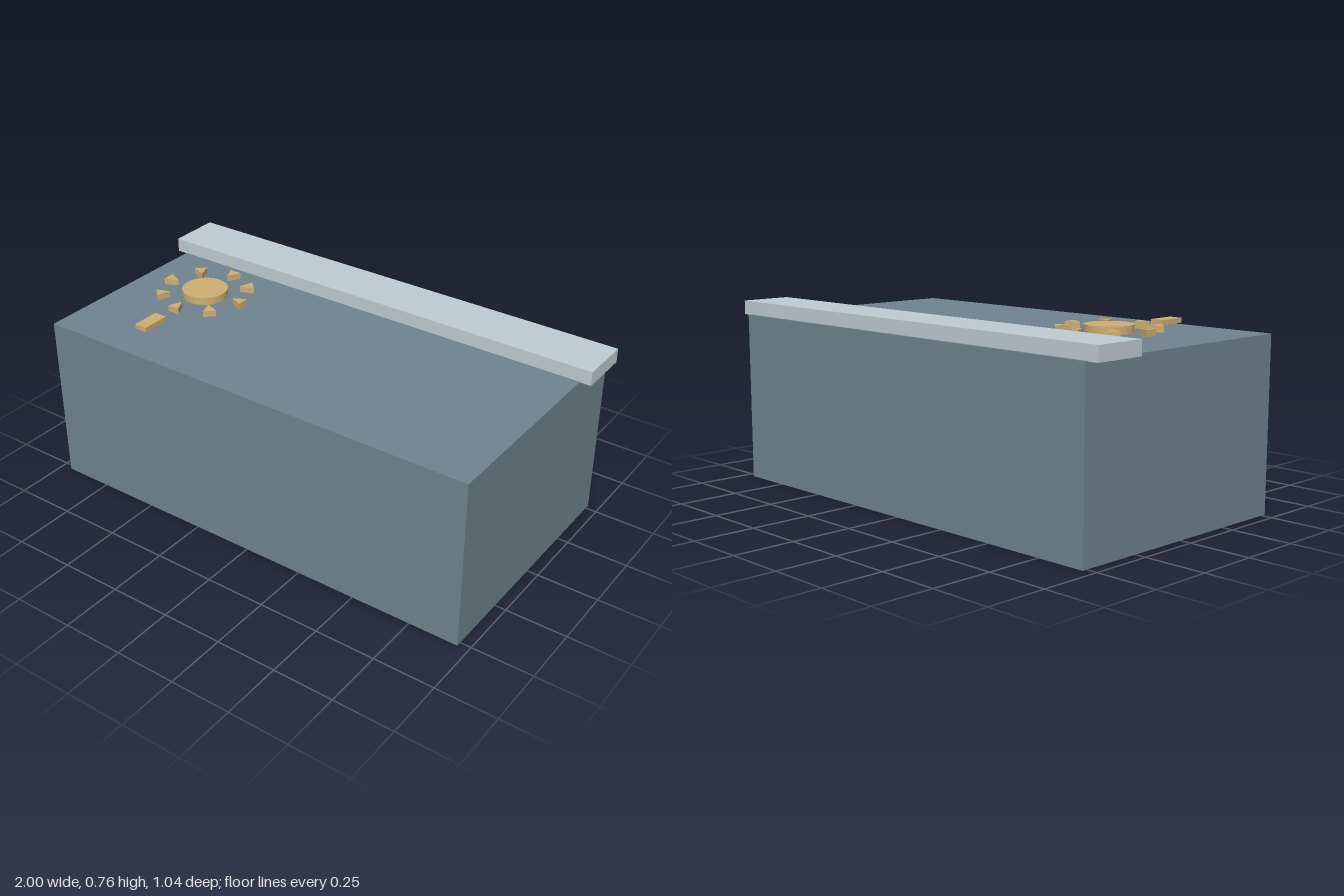
import * as THREE from 'three';

const slate = new THREE.MeshStandardMaterial({ color: 0x70848f });
const pale = new THREE.MeshStandardMaterial({ color: 0xbfccd4 });
const gold = new THREE.MeshStandardMaterial({ color: 0xcfae72 });

function addMesh(parent, name, geometry, material, x, y, z) {
  const mesh = new THREE.Mesh(geometry, material);
  mesh.name = name;
  mesh.position.set(x, y, z);
  parent.add(mesh);
  return mesh;
}

export function createModel() {
  const model = new THREE.Group();
  model.name = 'counter';

  // Solid body and the raised ledge along its back edge
  addMesh(model, 'body', new THREE.BoxGeometry(1.91, 0.7, 1.04), slate, 0, 0.35, 0);
  addMesh(model, 'backLedge', new THREE.BoxGeometry(2, 0.058, 0.217), pale, 0, 0.727, -0.399);

  // Sun emblem: round disc ringed by wedges that point inwards
  const sun = new THREE.Group();
  sun.name = 'sunEmblem';
  sun.position.set(-0.603, 0.72, 0);
  model.add(sun);
  addMesh(sun, 'sunDisc', new THREE.CylinderGeometry(0.094, 0.094, 0.03, 32), gold, 0, 0.015, 0);

  const wedge = new THREE.Shape([
    new THREE.Vector2(0.144, 0),
    new THREE.Vector2(0.198, -0.026),
    new THREE.Vector2(0.198, 0.026),
  ]);
  const rayGeometry = new THREE.ExtrudeGeometry(wedge, { depth: 0.026, bevelEnabled: false });
  rayGeometry.rotateX(-Math.PI / 2);
  for (let i = 0; i < 8; i++) {
    addMesh(sun, 'sunRay', rayGeometry, gold, 0, 0, 0).rotation.y = (i * Math.PI) / 4;
  }

  // Small bar in front of the sun
  addMesh(model, 'frontBar', new THREE.BoxGeometry(0.055, 0.019, 0.117), gold, -0.603, 0.734, 0.333);

  return model;
}
